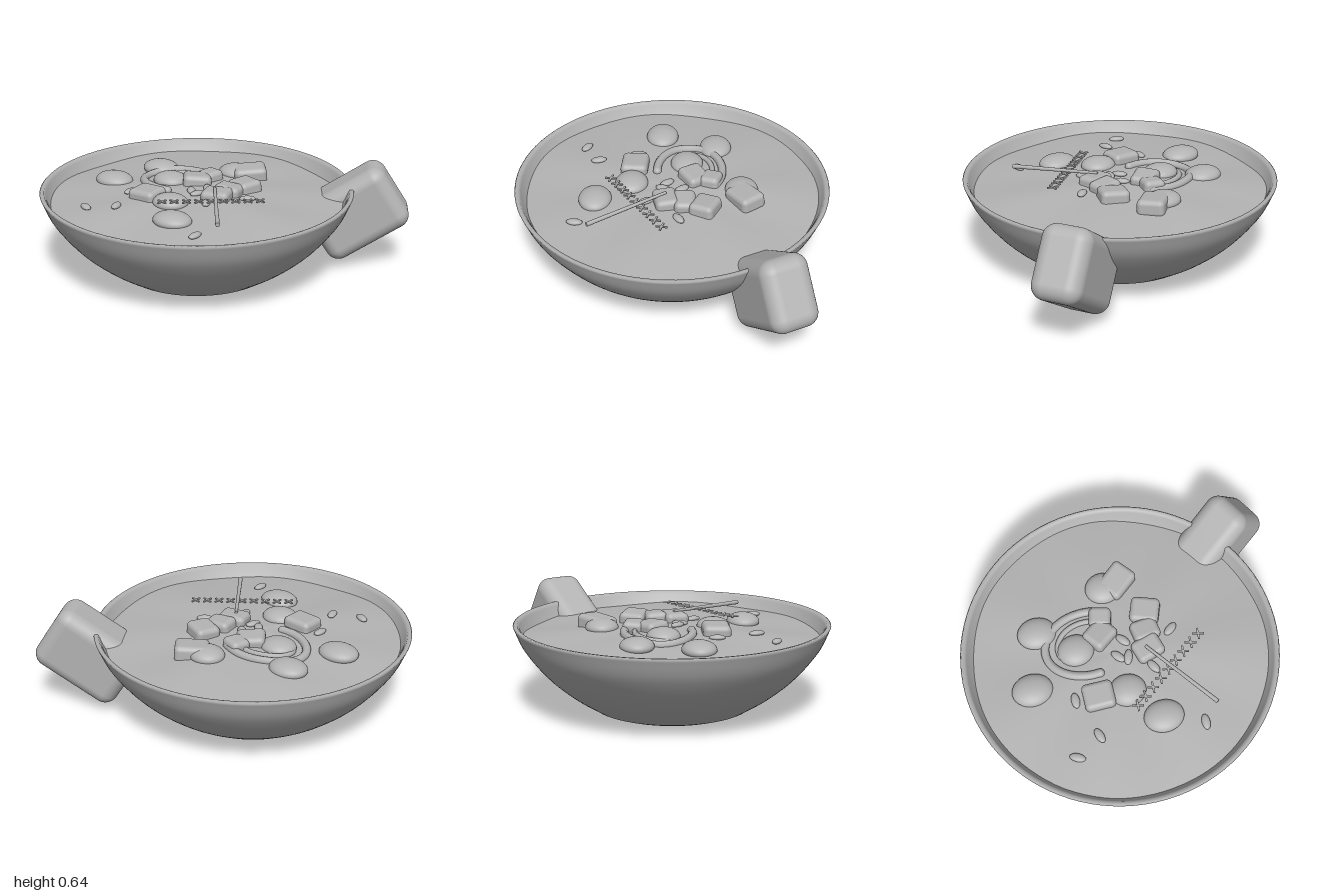
import * as THREE from 'three';
import { RoundedBoxGeometry } from 'three/addons/geometries/RoundedBoxGeometry.js';

const CX = -0.075; // bowl axis

// Height of the gently rippled broth, highest in the middle
function brothHeight(x, z) {
  const r = Math.hypot(x - CX, z);
  const a = Math.atan2(z, x - CX);
  const ripple = 0.006 * Math.sin(3 * a + 1) + 0.005 * Math.sin(7 * a);
  return 0.495 - 0.045 * Math.pow(r / 0.86, 2) + ripple * Math.min(1, r / 0.6);
}

export function createModel() {
  const model = new THREE.Group();
  const grey = new THREE.MeshStandardMaterial({ color: 0xb3b3b3 });
  grey.name = 'clay grey';

  function add(name, geometry, x = 0, y = 0, z = 0, parent = model) {
    const mesh = new THREE.Mesh(geometry, grey);
    mesh.name = name;
    mesh.position.set(x, y, z);
    parent.add(mesh);
    return mesh;
  }

  // Bowl: outer wall, rounded rim and inner wall in one lathe
  const outer = new THREE.SplineCurve([
    [0.47, 0.028], [0.61, 0.12], [0.745, 0.237], [0.865, 0.387], [0.92, 0.505],
  ].map(p => new THREE.Vector2(...p))).getPoints(24);
  const profile = [
    [0, 0], [0.36, 0.002], [0.42, 0.01],
  ].map(p => new THREE.Vector2(...p)).concat(outer, [
    [0.925, 0.518], [0.918, 0.524], [0.9, 0.522], [0.89, 0.505], [0.875, 0.47],
    [0.845, 0.42], [0.79, 0.34], [0.7, 0.24], [0.55, 0.12], [0.42, 0.06], [0, 0.05],
  ].map(p => new THREE.Vector2(...p)));
  add('bowl', new THREE.LatheGeometry(profile, 96), CX);

  // Broth surface
  const broth = new THREE.RingGeometry(0.001, 0.866, 96, 16);
  broth.rotateX(-Math.PI / 2).translate(CX, 0, 0);
  const p = broth.attributes.position;
  for (let i = 0; i < p.count; i++) p.setY(i, brothHeight(p.getX(i), p.getZ(i)));
  broth.computeVertexNormals();
  add('broth', broth);

  // Chunky handle, tilted up and out through the wall
  const handle = add('handle', new RoundedBoxGeometry(0.55, 0.41, 0.29, 6, 0.08), 0.687, 0.35, -0.577);
  handle.rotation.set(0, THREE.MathUtils.degToRad(28), THREE.MathUtils.degToRad(33), 'YXZ');

  // Floating dumplings: x, z, half width, half depth
  const ball = new THREE.SphereGeometry(1, 32, 20);
  const dumplings = new THREE.Group();
  dumplings.name = 'dumplings';
  model.add(dumplings);
  for (const [x, z, rx, rz] of [
    [-0.51, -0.25, 0.115, 0.097], [-0.625, 0.08, 0.12, 0.098], [-0.06, -0.41, 0.107, 0.097],
    [-0.32, -0.08, 0.107, 0.097], [-0.1, 0.24, 0.108, 0.097], [0.055, 0.445, 0.118, 0.097],
  ]) add('dumpling', ball, x, brothHeight(x, z) + 0.005, z, dumplings).scale.set(rx, 0.05, rz);

  // Soft cubes: x, z, width, depth, turn, tilt
  const cubes = new THREE.Group();
  cubes.name = 'cubes';
  model.add(cubes);
  for (const [x, z, w, d, turn, tilt] of [
    [0.03, -0.43, 0.2, 0.16, 0.65, 0.1], [-0.16, -0.13, 0.17, 0.15, 0.6, -0.12],
    [-0.13, -0.23, 0.13, 0.12, -0.3, 0.1], [0.135, -0.2, 0.17, 0.15, -0.4, 0.1],
    [0.1, -0.08, 0.16, 0.13, 0.1, -0.1], [0.085, 0.03, 0.17, 0.14, 0.25, 0.05],
    [-0.27, 0.23, 0.18, 0.16, -0.05, 0.06],
  ]) {
    const cube = add('cube', new RoundedBoxGeometry(w, 0.1, d, 4, 0.03), x, 0.497, z, cubes);
    cube.rotation.set(tilt * 0.5, turn, tilt * 0.6, 'YXZ');
  }

  // Swirl: an open outer curl and a smaller one inside it
  for (const [rx, rz, tube, from, to] of [
    [0.255, 0.195, 0.025, 1.5, 5.3], [0.18, 0.135, 0.016, 2.9, 5.6],
  ]) {
    const pts = [];
    for (let i = 0; i <= 16; i++) {
      const a = from + (to - from) * i / 16;
      const x = -0.24 + rx * Math.cos(a), z = -0.1 + rz * Math.sin(a);
      pts.push(new THREE.Vector3(x, brothHeight(x, z) + 0.004, z));
    }
    const curve = new THREE.CatmullRomCurve3(pts);
    add('swirl', new THREE.TubeGeometry(curve, 48, tube, 10));
    for (const end of [pts[0], pts[16]]) add('swirlEnd', ball, end.x, end.y, end.z).scale.setScalar(tube);
  }

  // Seeds: x, z, turn
  const seeds = new THREE.Group();
  seeds.name = 'seeds';
  model.add(seeds);
  const seedShape = new THREE.SphereGeometry(1, 16, 10);
  for (const [x, z, turn] of [
    [-0.405, 0.215, 1.5], [-0.33, 0.455, -1.3], [-0.485, 0.54, -0.5], [0.275, 0.545, 1.5],
    [0.245, -0.05, 0.6], [0.085, 0.145, -1.1], [-0.095, 0.03, -0.9], [-0.04, -0.06, -0.9], [-0.04, 0.05, 1.2],
  ]) {
    const seed = add('seed', seedShape, x, brothHeight(x, z) + 0.008, z, seeds);
    seed.scale.set(0.048, 0.016, 0.025);
    seed.rotation.y = turn;
  }

  // Row of small crossed sprigs
  const sprigs = new THREE.Group();
  sprigs.name = 'sprigs';
  model.add(sprigs);
  const bar = new THREE.BoxGeometry(0.068, 0.008, 0.011);
  for (let i = 0; i < 9; i++) {
    const t = i / 8;
    for (const side of [-1, 1]) {
      const m = add('sprig', bar, -0.075 + 0.46 * t, 0.54, 0.36 - 0.32 * t, sprigs);
      m.rotation.y = 0.6 + side * 0.87;
    }
  }

  // Tapered pick lying over the toppings
  const a = new THREE.Vector3(0.07, 0.55, 0.03), b = new THREE.Vector3(0.37, 0.532, 0.465);
  const dir = b.clone().sub(a);
  const pick = add('pick', new THREE.CylinderGeometry(0.013, 0.009, dir.length(), 10));
  pick.position.copy(a).lerp(b, 0.5);
  pick.quaternion.setFromUnitVectors(new THREE.Vector3(0, 1, 0), dir.normalize());

  return model;
}
